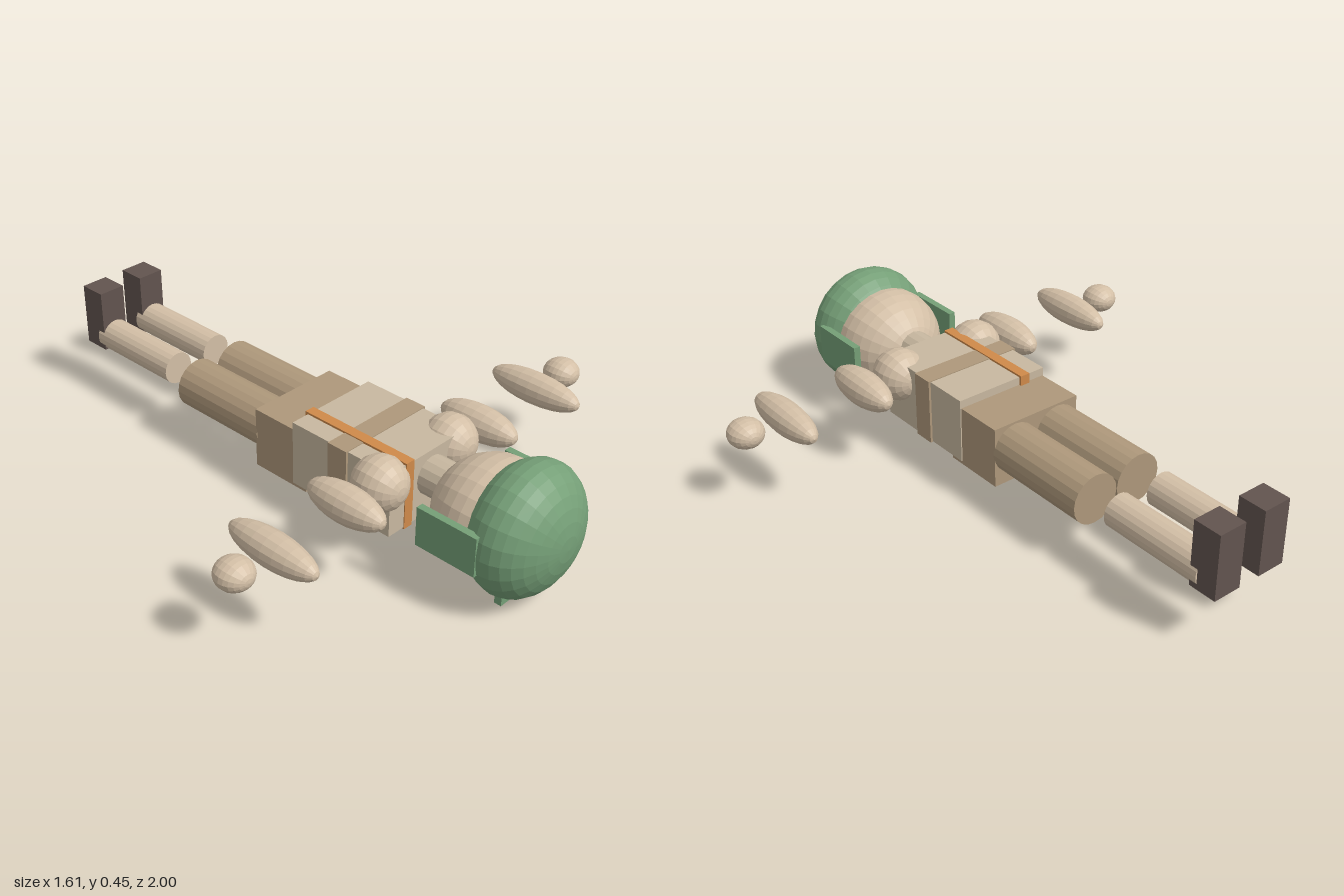
import * as THREE from 'three';

const mat = (name, color) => {
  const m = new THREE.MeshStandardMaterial({ color, flatShading: true });
  m.name = name;
  return m;
};

export function createModel() {
  const model = new THREE.Group();
  model.name = 'lyingFigure';

  const skin = mat('skin', 0xd3bfa6);
  const cloth = mat('lightCloth', 0xc8b8a0);
  const brown = mat('brownCloth', 0xae987b);
  const green = mat('helmetGreen', 0x759f77);
  const boot = mat('bootLeather', 0x62544f);
  const orange = mat('strapOrange', 0xcf8a4a);
  const dark = mat('eyeDark', 0x3a3230);

  const add = (name, geometry, material, x, y, z) => {
    const mesh = new THREE.Mesh(geometry, material);
    mesh.name = name;
    mesh.position.set(x, y, z);
    model.add(mesh);
    return mesh;
  };
  // Box from its minimum and maximum corners
  const box = (name, material, [x0, y0, z0], [x1, y1, z1]) =>
    add(name, new THREE.BoxGeometry(x1 - x0, y1 - y0, z1 - z0), material,
      (x0 + x1) / 2, (y0 + y1) / 2, (z0 + z1) / 2);
  // Ellipsoid with its poles on the body axis (z)
  const ball = (name, material, [x, y, z], [rx, ry, rz], w = 16, h = 12) =>
    add(name, new THREE.SphereGeometry(1, w, h).rotateX(Math.PI / 2).scale(rx, ry, rz),
      material, x, y, z);
  // Cylinder along the body axis from z0 to z1
  const rod = (name, material, x, y, r, z0, z1, sides = 20) =>
    add(name, new THREE.CylinderGeometry(r, r, z1 - z0, sides).rotateX(Math.PI / 2),
      material, x, y, (z0 + z1) / 2);

  // Head and helmet
  ball('head', skin, [0, 0.225, 0.735], [0.188, 0.182, 0.187], 24, 16);
  ball('helmet', green, [0, 0.235, 0.85], [0.215, 0.215, 0.147], 24, 16);
  box('helmetBrim', green, [-0.105, 0.015, 0.835], [0.105, 0.08, 0.86]);
  rod('neck', cloth, 0, 0.25, 0.065, 0.495, 0.6, 16);

  // Face, turned to the ground
  ball('nose', skin, [0, 0.025, 0.742], [0.022, 0.025, 0.025], 10, 8);
  box('mouth', brown, [-0.035, 0.03, 0.668], [0.035, 0.06, 0.682]);

  // Torso
  box('chest', cloth, [-0.172, 0.1, 0.08], [0.172, 0.325, 0.483]);
  box('chestBand', brown, [-0.18, 0.097, 0.237], [0.18, 0.328, 0.313]);
  box('pelvis', brown, [-0.168, 0.087, -0.09], [0.168, 0.297, 0.133]);
  box('shoulderStrap', orange, [-0.105, 0.094, 0.07], [-0.07, 0.332, 0.486]);

  // Paired parts
  for (const [side, s] of [['left', 1], ['right', -1]]) {
    const ear = s * 0.203;
    box(side + 'EarFlap', green, [ear - 0.012, 0.17, 0.62], [ear + 0.012, 0.303, 0.835]);
    ball(side + 'Eye', skin, [s * 0.06, 0.047, 0.778], [0.028, 0.018, 0.03], 10, 8);
    ball(side + 'Pupil', dark, [s * 0.06, 0.032, 0.778], [0.01, 0.006, 0.01], 8, 6);

    ball(side + 'Shoulder', skin, [s * 0.16, 0.267, 0.433], [0.09, 0.09, 0.09]);
    ball(side + 'UpperArm', skin, [s * 0.305, 0.265, 0.432], [0.06, 0.06, 0.148]);
    ball(side + 'Forearm', skin, [s * 0.6, 0.265, 0.433], [0.055, 0.055, 0.172]);
    ball(side + 'Hand', skin, [s * 0.745, 0.265, 0.433], [0.061, 0.049, 0.061]);

    rod(side + 'Thigh', brown, s * 0.086, 0.205, 0.085, -0.465, -0.085);
    rod(side + 'Shin', skin, s * 0.086, 0.22, 0.057, -0.93, -0.563);
    box(side + 'Boot', boot, [s * 0.0875 - 0.049, 0.177, -1], [s * 0.0875 + 0.049, 0.397, -0.903]);
  }
  return model;
}
